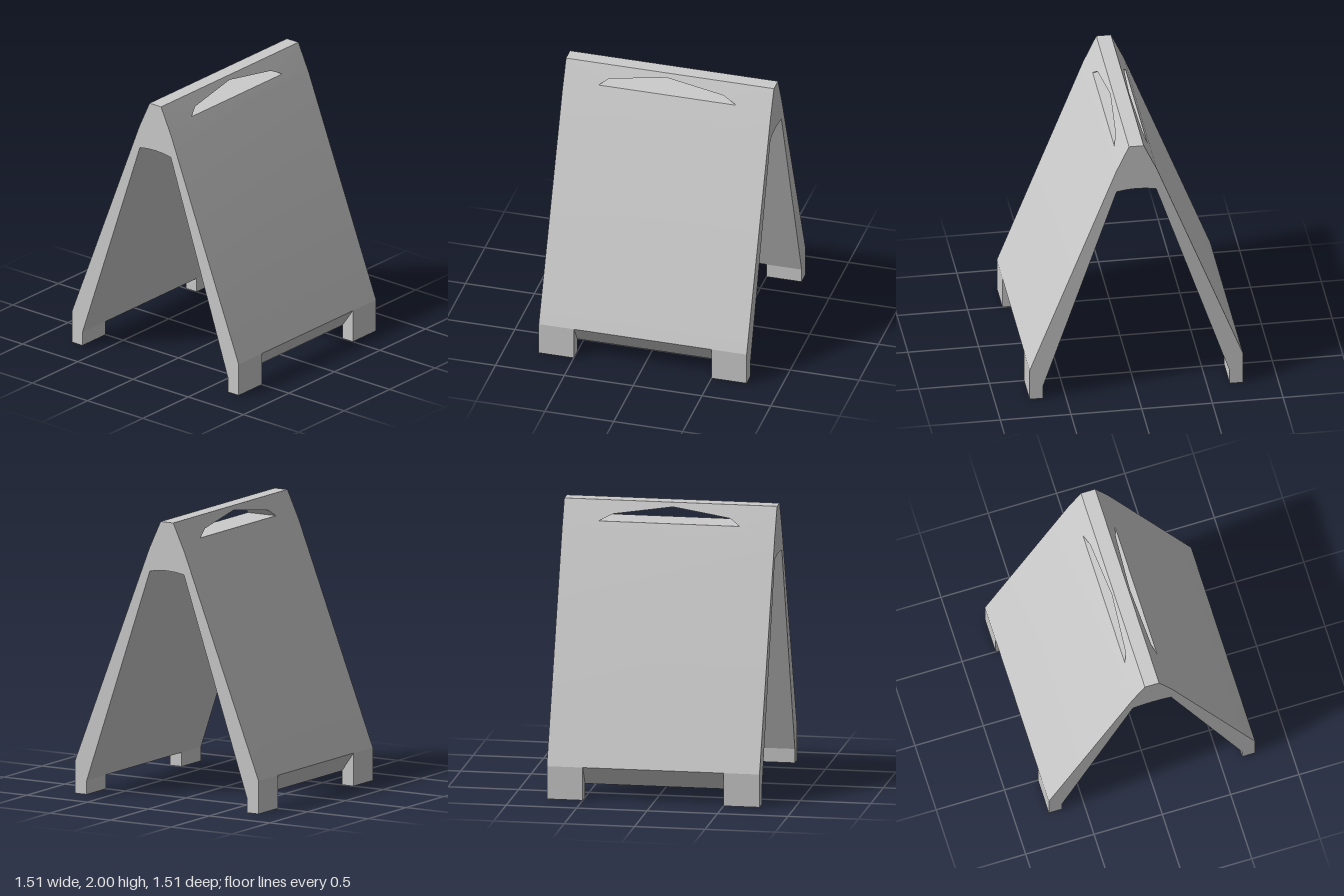
import * as THREE from 'three';
import { mergeGeometries, toCreasedNormals } from 'three/addons/utils/BufferGeometryUtils.js';

const HALF = 0.755;      // half depth and half width
const FOOT_Z = 0.5;      // inner end of the feet
const KINK = 1.8;        // height where the handle block meets the panels

const outline = (pts) => pts.map(([x, y]) => new THREE.Vector2(x, y));

// Extrude a polygon along z, centred on z = 0
function extrude(shape, depth) {
  const geo = new THREE.ExtrudeGeometry(shape, { depth, bevelEnabled: false });
  return geo.translate(0, 0, -depth / 2);
}

// Both leaning panels and the arched bridge that joins them
function panels() {
  const right = [
    [0.145, KINK], [HALF, 0.235], [0.66, 0.1], [0.14, 1.64], [0.07, 1.651],
  ];
  const left = right.map(([x, y]) => [-x, y]).reverse();
  return extrude(new THREE.Shape(outline([...right, [0, 1.655], ...left])), 2 * HALF);
}

// Top block with a hand slot, tapering towards the ridge
function handleBlock() {
  const shape = new THREE.Shape(outline([[-HALF, KINK], [HALF, KINK], [HALF, 2], [-HALF, 2]]));
  shape.holes.push(new THREE.Path(outline([
    [-0.5, 1.86], [-0.4, 1.91], [0.02, 1.97], [0.43, 1.91], [0.5, 1.86],
  ])));
  const geo = extrude(shape, 2).rotateY(-Math.PI / 2);
  const pos = geo.attributes.position;
  for (let i = 0; i < pos.count; i++) {
    const t = (pos.getY(i) - KINK) / (2 - KINK);
    pos.setX(i, pos.getX(i) * THREE.MathUtils.lerp(0.145, 0.052, t));
  }
  return geo;
}

export function createModel() {
  const group = new THREE.Group();
  group.name = 'foldingFloorSign';
  const material = new THREE.MeshStandardMaterial({ color: 0xcccccc });

  const board = new THREE.Mesh(
    toCreasedNormals(mergeGeometries([panels(), handleBlock()]), 0.2), material);
  board.name = 'board';
  group.add(board);

  // Four corner feet under the slanted lower edges
  for (const sx of [1, -1]) {
    const foot = new THREE.Shape(outline(
      [[HALF, 0.235], [HALF, 0], [0.66, 0], [0.66, 0.1]].map(([x, y]) => [sx * x, y])));
    for (const sz of [1, -1]) {
      const mesh = new THREE.Mesh(extrude(foot, HALF - FOOT_Z), material);
      mesh.position.z = sz * (HALF + FOOT_Z) / 2;
      mesh.name = (sz > 0 ? 'front' : 'back') + (sx > 0 ? 'Left' : 'Right') + 'Foot';
      group.add(mesh);
    }
  }
  return group;
}
